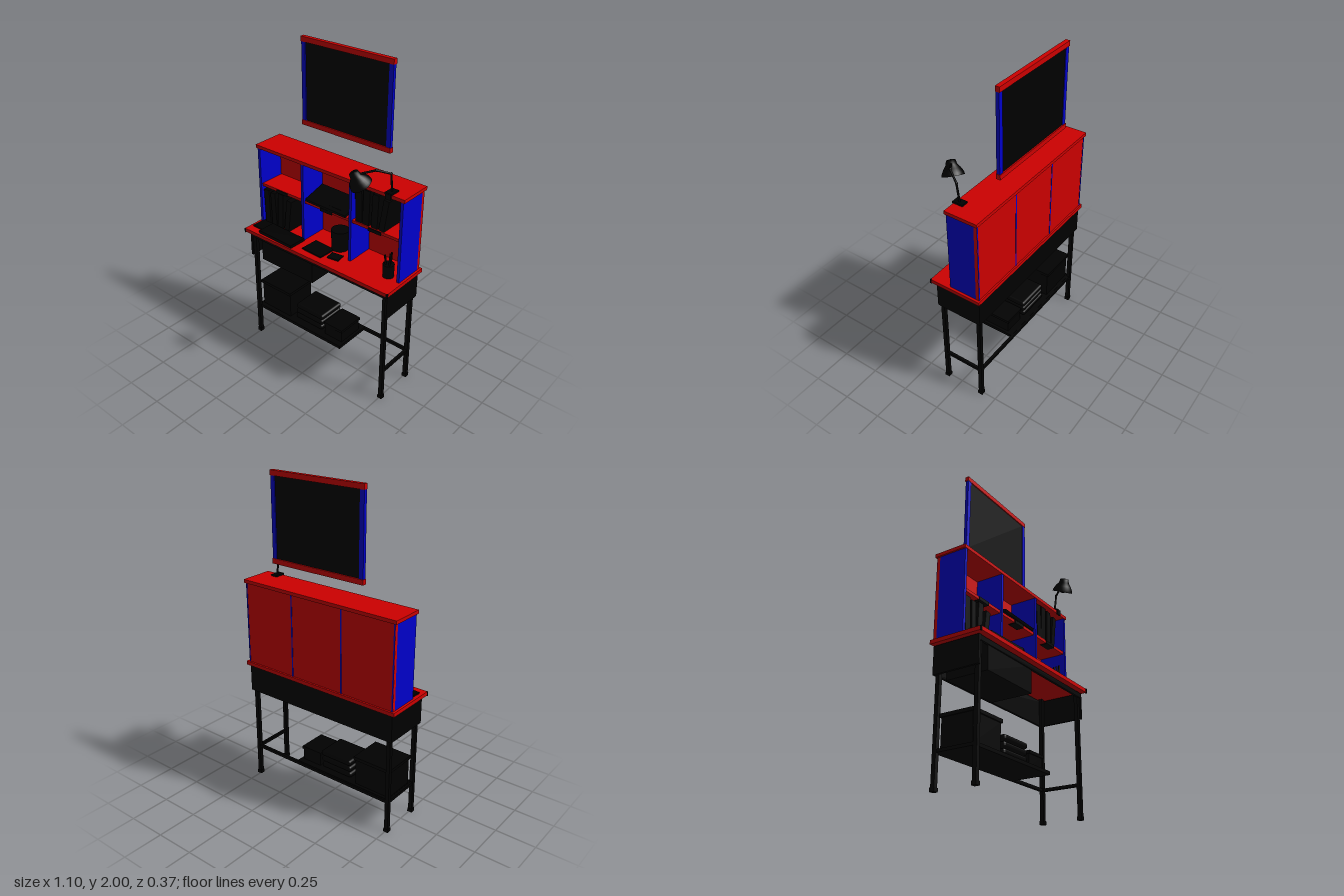
import * as THREE from 'three';
import { RoundedBoxGeometry } from 'three/addons/geometries/RoundedBoxGeometry.js';

export function createModel() {
  const model = new THREE.Group();
  model.name = 'deskWithHutch';
  const red = new THREE.MeshStandardMaterial({ color: 0xcc0000, name: 'red' });
  const blue = new THREE.MeshStandardMaterial({ color: 0x0000cc, name: 'blue' });
  const black = new THREE.MeshStandardMaterial({ color: 0x000000, name: 'black', side: THREE.DoubleSide });

  const add = (name, geo, mat, x = 0, y = 0, z = 0) => {
    const mesh = new THREE.Mesh(geo, mat);
    mesh.name = name;
    mesh.position.set(x, y, z);
    model.add(mesh);
    return mesh;
  };
  // box given by its extents on each axis
  const box = (name, mat, x0, x1, y0, y1, z0, z1) =>
    add(name, new THREE.BoxGeometry(x1 - x0, y1 - y0, z1 - z0), mat, (x0 + x1) / 2, (y0 + y1) / 2, (z0 + z1) / 2);
  // round bar between two points
  const bar = (name, a, b, r) => {
    const from = new THREE.Vector3(...a), to = new THREE.Vector3(...b);
    const dir = to.clone().sub(from);
    const mid = from.clone().add(to).multiplyScalar(0.5);
    const mesh = add(name, new THREE.CylinderGeometry(r, r, dir.length(), 10), black, mid.x, mid.y, mid.z);
    mesh.quaternion.setFromUnitVectors(new THREE.Vector3(0, 1, 0), dir.normalize());
    return mesh;
  };

  // Desk: legs, feet, side bars and aprons
  for (const s of [-1, 1]) {
    for (const z of [0.102, -0.152]) {
      box('leg', black, s * 0.505 - 0.012, s * 0.505 + 0.012, 0.02, 0.782, z - 0.012, z + 0.012);
      box('foot', black, s * 0.505 - 0.015, s * 0.505 + 0.015, 0, 0.022, z - 0.015, z + 0.015);
    }
    box('sideBar', black, s * 0.505 - 0.009, s * 0.505 + 0.009, 0.195, 0.213, -0.14, 0.09);
    box('sideApron', black, s * 0.524 - 0.007, s * 0.524 + 0.007, 0.61, 0.774, -0.175, 0.123);
    box('cornerCap', black, s * 0.547 - 0.005, s * 0.547 + 0.005, 0.779, 0.806, 0.143, 0.153);
  }
  box('backAprons', black, -0.53, 0.53, 0.61, 0.774, -0.175, -0.16);
  box('frontRail', black, -0.53, 0.53, 0.745, 0.774, 0.108, 0.122);
  box('drawer', black, -0.44, -0.025, 0.605, 0.77, -0.155, 0.115);
  box('deskTop', red, -0.55, 0.55, 0.782, 0.806, -0.188, 0.15);

  // Lower shelf and what stands on it
  box('rearBeam', black, -0.5, 0.5, 0.195, 0.213, -0.161, -0.143);
  box('lowerShelf', black, -0.5, 0.18, 0.195, 0.215, -0.15, 0.1);
  box('storageBox', black, -0.495, -0.255, 0.215, 0.385, -0.13, 0.07);
  box('storageBoxLid', black, -0.502, -0.248, 0.38, 0.4, -0.14, 0.08);
  for (let i = 0; i < 3; i++)
    add('foldedCloth', new RoundedBoxGeometry(0.22, 0.035, 0.19, 3, 0.014), black, -0.105 + 0.003 * i, 0.244 + 0.039 * i, -0.03);
  box('smallBox', black, 0.03, 0.162, 0.215, 0.295, -0.11, 0.06);
  box('smallBoxLid', black, 0.024, 0.168, 0.288, 0.306, -0.116, 0.066);

  // Hutch: uprights, back, shelf and top
  for (const s of [-1, 1]) {
    box('hutchSide', blue, s * 0.526 - 0.009, s * 0.526 + 0.009, 0.806, 1.315, -0.157, 0.02);
    box('hutchDivider', blue, s * 0.18 - 0.009, s * 0.18 + 0.009, 0.806, 1.315, -0.156, 0.02);
    box('dividerEdge', blue, s * 0.18 - 0.004, s * 0.18 + 0.004, 0.806, 1.315, -0.179, -0.17);
    box('sideEdge', blue, s * 0.53 - 0.004, s * 0.53 + 0.004, 0.806, 1.315, -0.179, -0.17);
  }
  box('hutchBack', red, -0.535, 0.535, 0.806, 1.315, -0.177, -0.157);
  for (const x of [-0.35, 0, 0.35]) {
    box('hutchShelf', red, x - 0.165, x + 0.165, 1.062, 1.08, -0.157, 0.012);
    box('shelfClip', black, x - 0.044, x + 0.044, 1.058, 1.078, -0.03, 0.018);
  }
  box('hutchTop', red, -0.545, 0.545, 1.315, 1.336, -0.185, 0.025);

  // Books: [centre x, width, height, tilt]
  const bookRow = (y, books) => books.forEach(([x, w, h, tilt]) => {
    const book = add('book', new THREE.BoxGeometry(w, h, 0.15), black, x, y + h / 2, -0.065);
    book.rotation.z = -tilt;
  });
  bookRow(0.81, [[-0.483, 0.042, 0.232, -0.03], [-0.43, 0.038, 0.225, -0.04], [-0.372, 0.042, 0.24, 0.04], [-0.312, 0.038, 0.215, 0.12]]);
  bookRow(1.082, [[0.232, 0.046, 0.215, -0.04], [0.285, 0.045, 0.217, 0.02], [0.345, 0.042, 0.212, 0.03], [0.405, 0.036, 0.2, 0.14]]);

  // Flat things on the desk top
  const flat = (name, x, z, w, h, d, turn) => {
    add(name, new THREE.BoxGeometry(w, h, d), black, x, 0.806 + h / 2, z).rotation.y = turn;
  };
  flat('notepad', -0.48, 0.045, 0.09, 0.01, 0.11, -0.05);
  flat('keyboard', -0.303, 0.08, 0.272, 0.018, 0.118, -0.03);
  flat('notebook', -0.037, 0.045, 0.15, 0.008, 0.12, -0.05);
  flat('note', 0.095, 0.045, 0.075, 0.008, 0.06, 0.15);

  // Tray on the middle shelf
  const tray = add('tray', new THREE.BoxGeometry(0.296, 0.018, 0.16), black, -0.003, 1.11, -0.055);
  tray.rotation.set(0.26, 0, -0.02);
  box('trayStand', black, -0.1, 0.1, 1.08, 1.105, -0.12, 0);

  // Mug and pencil cup
  add('mug', new THREE.CylinderGeometry(0.055, 0.052, 0.128, 24), black, 0.055, 0.875, -0.05);
  add('pencilCup', new THREE.CylinderGeometry(0.034, 0.032, 0.082, 20), black, 0.446, 0.847, 0);
  for (const [dx, dz, top] of [[-0.018, 0.01, 0.945], [0.004, -0.015, 0.955], [0.016, 0.008, 0.965]])
    bar('pencil', [0.446 + dx * 0.5, 0.83, dz], [0.446 + dx, top, dz * 1.3], 0.006);

  // Clamp lamp
  box('lampBase', black, 0.42, 0.464, 1.336, 1.346, -0.034, 0.032);
  box('lampClamp', black, 0.425, 0.459, 1.308, 1.34, 0.024, 0.034);
  const joints = [[0.444, 1.34, -0.002], [0.444, 1.455, 0.014], [0.4, 1.488, 0.088], [0.305, 1.455, 0.155]];
  for (let i = 0; i < 3; i++) {
    bar('lampArm', joints[i], joints[i + 1], 0.006);
    add('lampJoint', new THREE.SphereGeometry(0.008, 12, 8), black, ...joints[i + 1]);
  }
  const profile = [[0, 0.068], [0.026, 0.064], [0.031, 0.04], [0.048, 0.018], [0.06, -0.005], [0.063, -0.02]];
  const shade = add('lampShade', new THREE.LatheGeometry(profile.map(p => new THREE.Vector2(...p)).reverse(), 28), black, 0.327, 1.415, 0.132);
  shade.quaternion.setFromUnitVectors(new THREE.Vector3(0, 1, 0), new THREE.Vector3(-0.3, 0.85, 0.4).normalize());
  const bulb = add('lampBulb', new THREE.SphereGeometry(0.024, 14, 10), black, 0.327, 1.415, 0.132);
  bulb.scale.y = 1.1;

  // Framed board above the hutch
  box('boardPanel', black, -0.295, 0.295, 1.5, 1.975, -0.164, -0.152);
  for (const s of [-1, 1])
    box('boardStile', blue, s * 0.303 - 0.014, s * 0.303 + 0.014, 1.504, 1.97, -0.168, -0.147);
  for (const y of [1.489, 1.985])
    box('boardRail', red, -0.319, 0.319, y - 0.015, y + 0.015, -0.172, -0.145);

  return model;
}
